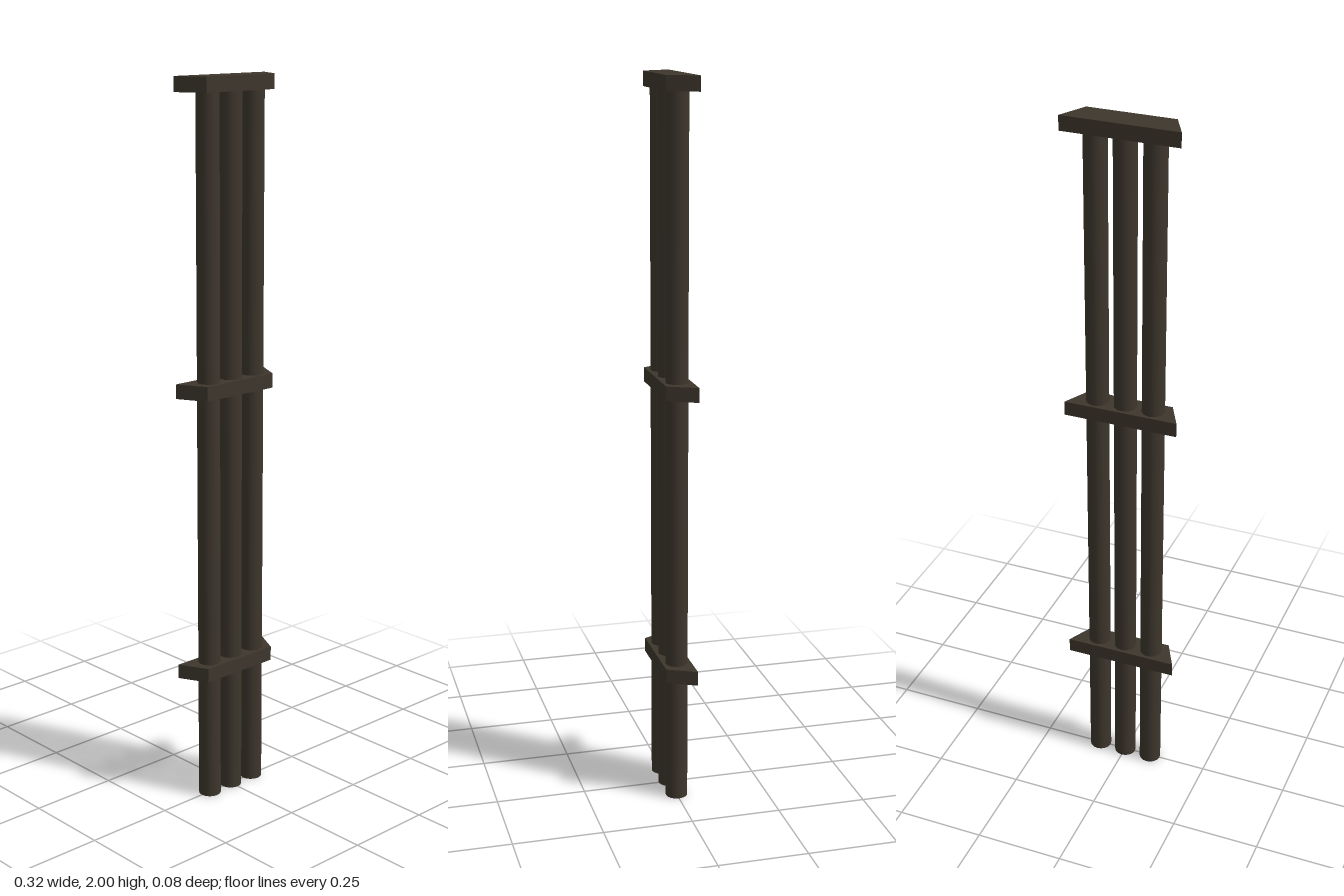
import * as THREE from 'three';

export function createModel() {
  const model = new THREE.Group();
  model.name = 'pipeRun';
  const darkMetal = new THREE.MeshStandardMaterial({ color: 0x3d362c });
  darkMetal.name = 'darkMetal';

  // Three upright pipes, their tops hidden in the highest bracket
  const pipeHeight = 1.99;
  const pipeGeometry = new THREE.CylinderGeometry(0.031, 0.031, pipeHeight, 16);
  ['rightPipe', 'middlePipe', 'leftPipe'].forEach((name, i) => {
    const pipe = new THREE.Mesh(pipeGeometry, darkMetal);
    pipe.name = name;
    pipe.position.set((i - 1) * 0.08, pipeHeight / 2, 0);
    model.add(pipe);
  });

  // Brackets: trapezoid plates, wide at the back and narrow at the front
  const thickness = 0.04;
  const outline = new THREE.Shape([
    new THREE.Vector2(-0.12, -0.04),
    new THREE.Vector2(0.12, -0.04),
    new THREE.Vector2(0.16, 0.04),
    new THREE.Vector2(-0.16, 0.04),
  ]);
  const bracketGeometry = new THREE.ExtrudeGeometry(outline, { depth: thickness, bevelEnabled: false });
  bracketGeometry.rotateX(-Math.PI / 2);
  const brackets = { lowerBracket: 0.4, middleBracket: 1.2, upperBracket: 2 };
  for (const [name, top] of Object.entries(brackets)) {
    const bracket = new THREE.Mesh(bracketGeometry, darkMetal);
    bracket.name = name;
    bracket.position.y = top - thickness;
    model.add(bracket);
  }

  return model;
}
